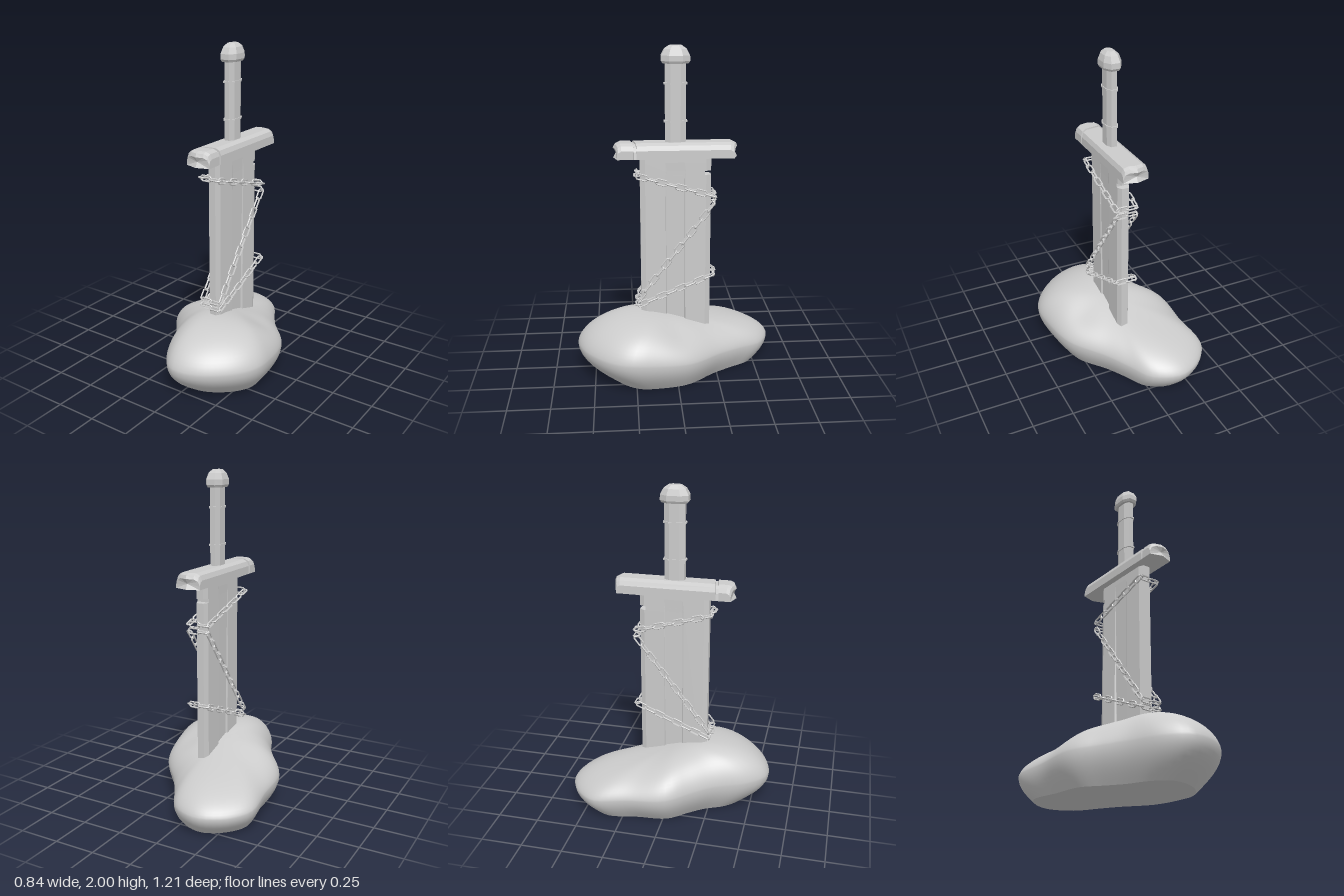
import * as THREE from 'three';
import { mergeGeometries } from 'three/addons/utils/BufferGeometryUtils.js';

const CX = 0.027; // sword axis offset in x

function makeMesh(name, geometry, flat = true) {
  const material = new THREE.MeshStandardMaterial({ color: 0xcccccc, flatShading: flat });
  const mesh = new THREE.Mesh(geometry, material);
  mesh.name = name;
  return mesh;
}

// Skin equal-length rings of [x, y, z] points and close both ends with fans.
function loft(rings) {
  const n = rings[0].length, pos = rings.flat(2), index = [];
  for (let i = 0; i < rings.length - 1; i++) {
    for (let j = 0; j < n; j++) {
      const a = i * n + j, b = i * n + (j + 1) % n;
      index.push(a, b, a + n, b, b + n, a + n);
    }
  }
  const cap = (ring, flip) => {
    const base = pos.length / 3;
    const c = [0, 1, 2].map(k => ring.reduce((s, p) => s + p[k], 0) / n);
    pos.push(...c, ...ring.flat());
    for (let j = 0; j < n; j++) {
      const a = base + 1 + j, b = base + 1 + (j + 1) % n;
      index.push(base, ...(flip ? [b, a] : [a, b]));
    }
  };
  cap(rings[0], true);
  cap(rings[rings.length - 1], false);
  const g = new THREE.BufferGeometry();
  g.setAttribute('position', new THREE.Float32BufferAttribute(pos, 3));
  g.setIndex(index);
  g.computeVertexNormals();
  return g;
}

// Elongated octagon around the sword axis at height y.
function octagon(hx, hz, y) {
  return [[0.5, 1], [1, 0.48], [1, -0.48], [0.5, -1], [-0.5, -1], [-1, -0.48], [-1, 0.48], [-0.5, 1]]
    .map(([x, z]) => [CX + x * hx, y, z * hz]);
}

// Smooth boulder: one outline scaled through a belly and a domed top.
function rock() {
  const outline = [[0.06, 0.605], [0.2, 0.56], [0.35, 0.43], [0.415, 0.3], [0.41, 0.16], [0.35, -0.07],
    [0.18, -0.28], [0.1, -0.4], [0, -0.55], [-0.16, -0.61], [-0.28, -0.57], [-0.38, -0.48], [-0.42, -0.4],
    [-0.4, -0.2], [-0.385, 0.03], [-0.28, 0.18], [-0.2, 0.3], [-0.12, 0.48], [-0.02, 0.59]];
  const curve = new THREE.CatmullRomCurve3(outline.map(([x, z]) => new THREE.Vector3(x, 0, z)), true);
  const pts = curve.getSpacedPoints(80).slice(0, 80);
  const belly = z => 0.175 + 0.06 * Math.max(-0.8, Math.min(0.4, z * 1.5));
  const crown = z => 0.36 + 0.07 * Math.tanh(z * 4);
  const rings = [];
  for (let i = 0; i < 8; i++) {
    const t = i / 8;
    rings.push(pts.map(p => {
      const base = 0.79 - 0.12 * p.z;
      const s = base + (1 - base) * Math.sin(t * Math.PI / 2);
      return [p.x * s, belly(p.z) * t, p.z * s];
    }));
  }
  for (let i = 0; i <= 18; i++) {
    const s = Math.max(0.02, Math.cos(i / 18 * Math.PI / 2));
    const dome = Math.pow(Math.max(0, 1 - Math.pow(s, 2.6)), 0.6);
    rings.push(pts.map(p => {
      const x = p.x * s, z = p.z * s, low = belly(p.z);
      const dent = 0.025 * Math.exp(-((x - 0.24) ** 2 + (z + 0.02) ** 2) / 0.012);
      return [x, low + (crown(z) - low - dent) * dome, z];
    }));
  }
  return makeMesh('rock', loft(rings), false);
}

// Blade: bevelled edges, a tapering fuller and a nick near the guard.
function blade() {
  const section = (y, depth, zMin = -1) => {
    const half = [[0.022, 0.21], [0.037, 0.18], [0.037, 0.06], [0.037 - depth, 0.053],
      [0.037 - depth, -0.053], [0.037, -0.06], [0.037, -0.18], [0.022, -0.21]];
    const other = half.map(([x, z]) => [-x, z]).reverse();
    return [...half, ...other].map(([x, z]) => [CX + x, y, Math.max(z, zMin)]);
  };
  return makeMesh('blade', loft([
    section(0.25, 0.013), section(1.254, 0.002), section(1.255, 0.002, -0.172),
    section(1.277, 0.0015, -0.172), section(1.278, 0.0015), section(1.33, 0), section(1.37, 0),
  ]));
}

// Crossguard: profile swept along z, with pointed ends and a slanted crack.
function guard() {
  const profile = [[-0.077, 1.36], [0, 1.36], [0.077, 1.36], [0.077, 1.41], [0.066, 1.437], [0.042, 1.45],
    [0, 1.45], [-0.042, 1.45], [-0.066, 1.437], [-0.077, 1.41]];
  const section = (z, { point = 0, drop = 0, slant = 0, cut = 0 } = {}) => profile.map(([x, y]) => {
    const top = y > 1.4;
    return [CX + x * (top ? 1 - cut * 10 : 1), y - (top ? drop + cut : 0),
      z + point * (1 - Math.abs(x) / 0.077) - slant * x];
  });
  const s = 0.17;
  return makeMesh('guard', loft([
    section(-0.34, { point: -0.024, drop: 0.03 }), section(-0.333, { point: -0.022, drop: 0.01 }),
    section(-0.315, { point: -0.018 }),
    section(0.24, { slant: s }), section(0.241, { slant: s, cut: 0.009 }),
    section(0.257, { slant: s, cut: 0.009 }), section(0.258, { slant: s }),
    section(0.315, { point: 0.018 }),
    section(0.333, { point: 0.022, drop: 0.01 }), section(0.34, { point: 0.024, drop: 0.03 }),
  ]));
}

// Closed chain round the blade, from height yFront at the front to yBack at the back.
function chain(name, yFront, yBack) {
  const corners = [[1, 1], [1, -1], [-1, -1], [-1, 1]]
    .map(([x, z]) => new THREE.Vector3(CX + x * 0.063, z > 0 ? yFront : yBack, z * 0.228));
  const path = new THREE.CurvePath();
  corners.forEach((p, i) => path.add(new THREE.LineCurve3(p, corners[(i + 1) % 4])));
  const count = 2 * Math.round(path.getLength() / 0.122);

  // One oval link, long in x.
  const link = new THREE.TorusGeometry(0.017, 0.0055, 5, 8, Math.PI * 2);
  link.rotateZ(Math.PI / 8);
  const p = link.attributes.position;
  for (let i = 0; i < p.count; i++) p.setX(i, p.getX(i) + Math.sign(p.getX(i)) * 0.019);

  const links = [];
  for (let i = 0; i < count; i++) {
    const u = (i + 0.5) / count, h = 0.3 / count;
    const at = path.getPointAt(u);
    const along = path.getPointAt((u + h) % 1).sub(path.getPointAt((u - h + 1) % 1)).normalize();
    const side = new THREE.Vector3(0, 1, 0).cross(along).normalize();
    const up = along.clone().cross(side).normalize();
    const basis = i % 2
      ? new THREE.Matrix4().makeBasis(along, side, up.clone())
      : new THREE.Matrix4().makeBasis(along, up, side.clone().negate());
    links.push(link.clone().applyMatrix4(basis.setPosition(at)));
  }
  return makeMesh(name, mergeGeometries(links));
}

export function createModel() {
  const model = new THREE.Group();
  model.name = 'swordInRock';
  model.add(rock());

  const sword = new THREE.Group();
  sword.name = 'sword';
  sword.add(blade(), guard());
  sword.add(makeMesh('grip', loft([octagon(0.032, 0.06, 1.44), octagon(0.032, 0.06, 1.91)])));
  for (const y of [1.57, 1.787]) {
    sword.add(makeMesh('gripRing', loft([octagon(0.037, 0.068, y - 0.005), octagon(0.037, 0.068, y + 0.005)])));
  }
  sword.add(makeMesh('pommel', loft([
    octagon(0.046, 0.074, 1.9), octagon(0.053, 0.083, 1.914), octagon(0.053, 0.082, 1.945),
    octagon(0.042, 0.064, 1.98), octagon(0.022, 0.036, 2),
  ])));
  model.add(sword);

  const chains = new THREE.Group();
  chains.name = 'chains';
  chains.add(chain('upperChain', 1.26, 1.13), chain('diagonalChain', 0.49, 1.09), chain('lowerChain', 0.45, 0.64));
  model.add(chains);
  return model;
}
